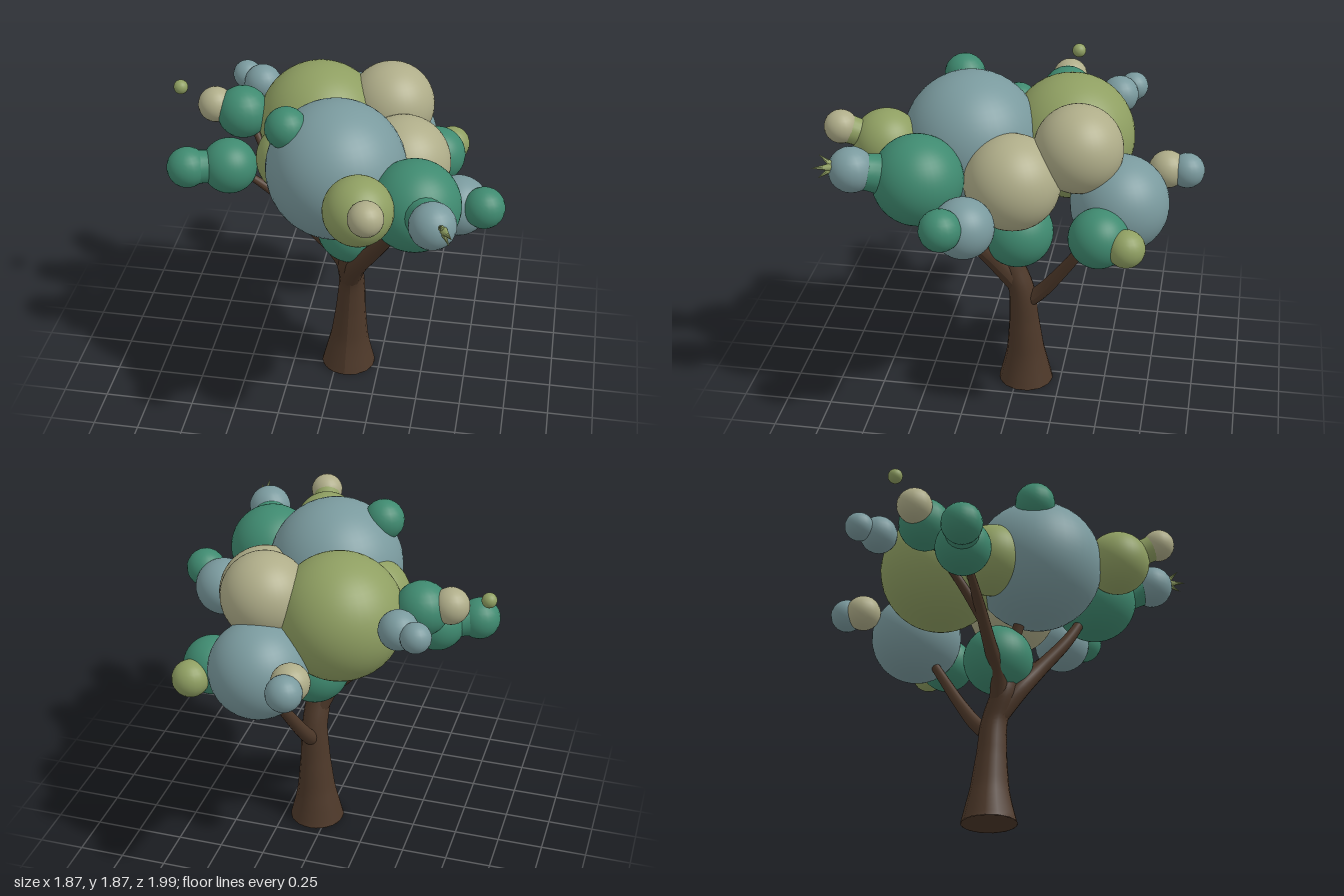
import * as THREE from 'three';

const material = (color) => new THREE.MeshStandardMaterial({ color });
const bark = material(0x4d3829);
bark.side = THREE.DoubleSide;
const leaf = {
  green: material(0x3f8a70),
  olive: material(0x8f9f62),
  beige: material(0xafad89),
  blue: material(0x7a9a9e),
};

const v = (p) => new THREE.Vector3(p[0], p[1], p[2]);

// Tube along points, with its radius interpolated through a list of radii
function limb(name, points, radii, segments = 20) {
  const sides = 14;
  const curve = new THREE.CatmullRomCurve3(points.map(v));
  const geo = new THREE.TubeGeometry(curve, segments, 1, sides);
  const pos = geo.attributes.position;
  const p = new THREE.Vector3();
  for (let i = 0; i <= segments; i++) {
    const c = curve.getPointAt(i / segments);
    // Curve parameter at this arc length picks the matching radius
    const t = curve.getUtoTmapping(i / segments) * (radii.length - 1);
    const k = Math.min(Math.floor(t), radii.length - 2);
    const r = THREE.MathUtils.lerp(radii[k], radii[k + 1], t - k);
    for (let j = 0; j <= sides; j++) {
      const n = i * (sides + 1) + j;
      p.fromBufferAttribute(pos, n).sub(c).multiplyScalar(r).add(c);
      pos.setXYZ(n, p.x, p.y, p.z);
    }
  }
  geo.computeVertexNormals();
  const mesh = new THREE.Mesh(geo, bark);
  mesh.name = name;
  return mesh;
}

function ball(name, [x, y, z, r], color) {
  const fine = r > 0.15;
  const mesh = new THREE.Mesh(new THREE.SphereGeometry(r, fine ? 40 : 20, fine ? 28 : 14), leaf[color]);
  mesh.position.set(x, y, z);
  mesh.name = name;
  return mesh;
}

// Pinched neck that fuses two neighbouring balls
function neck(a, b, color) {
  const start = v(a), dir = v(b).sub(start);
  const len = dir.length(), r = Math.min(a[3], b[3]);
  const profile = [0.92, 0.85, 0.8, 0.82, 0.9].map((s, i) => new THREE.Vector2(r * s, (len * i) / 4));
  const mesh = new THREE.Mesh(new THREE.LatheGeometry(profile, 20), leaf[color]);
  mesh.position.copy(start);
  mesh.quaternion.setFromUnitVectors(new THREE.Vector3(0, 1, 0), dir.normalize());
  mesh.name = 'foliageNeck';
  return mesh;
}

export function createModel() {
  const tree = new THREE.Group();
  tree.name = 'tree';

  // Trunk with flared foot
  const foot = [0.065, 0, -0.05];
  tree.add(limb('trunk',
    [foot, [0.066, 0.1, -0.05], [0.07, 0.2, -0.048], [0.078, 0.4, -0.04], [0.085, 0.6, -0.025], [0.08, 0.75, 0.03], [0.09, 0.9, 0.06]],
    [0.155, 0.13, 0.108, 0.085, 0.072, 0.07, 0.05], 30));
  const cap = new THREE.Mesh(new THREE.CircleGeometry(0.155, 14), bark);
  cap.rotation.x = Math.PI / 2;
  cap.position.set(...foot);
  cap.name = 'trunkBase';
  tree.add(cap);

  // Branches
  const branches = [
    ['leftBranch', [[0.08, 0.68, 0], [0, 0.83, 0.03], [-0.12, 0.95, 0.03], [-0.3, 1.14, 0.03], [-0.5, 1.29, 0.04]], [0.055, 0.045, 0.038, 0.03, 0.018]],
    ['leftTwig', [[-0.22, 1.06, 0.03], [-0.34, 1.22, -0.04], [-0.5, 1.48, -0.18]], [0.03, 0.026, 0.018]],
    ['frontBranch', [[0.08, 0.62, -0.01], [0.13, 0.78, 0.1], [0.22, 0.93, 0.19], [0.33, 1.14, 0.33], [0.4, 1.32, 0.42]], [0.06, 0.055, 0.045, 0.035, 0.025]],
    ['backBranch', [[0.085, 0.5, -0.03], [0.1, 0.59, -0.13], [0.14, 0.75, -0.25], [0.18, 0.92, -0.36], [0.2, 1.1, -0.47]], [0.045, 0.042, 0.035, 0.03, 0.025]],
    ['sideBranch', [[0.12, 0.8, 0.1], [0.23, 0.95, 0.17], [0.42, 1.1, 0.19], [0.64, 1.27, 0.18]], [0.04, 0.033, 0.026, 0.018]],
    ['centreBranch', [[0.09, 0.8, 0.04], [0.06, 1.05, 0.1], [0.04, 1.3, 0.2]], [0.05, 0.035, 0.025]],
  ];
  for (const [name, points, radii] of branches) tree.add(limb(name, points, radii));

  // Main crown: [x, y, z, radius]
  const crown = [
    [[0.04, 1.49, 0.25, 0.37], 'blue'],
    [[-0.13, 1.465, -0.27, 0.342], 'olive'],
    [[0.25, 1.57, -0.35, 0.235], 'beige'],
    [[0.36, 1.405, -0.02, 0.255], 'beige'],
    [[0.22, 1.255, -0.57, 0.263], 'blue'],
    [[0.09, 0.965, -0.005, 0.197], 'green'],
    [[0.477, 1.44, 0.455, 0.24], 'green'],
    [[-0.22, 1.43, 0.08, 0.2], 'olive'],
    [[-0.205, 1.755, 0.33, 0.112], 'green'],
    [[-0.9, 1.645, -0.21, 0.04], 'olive'],
  ];
  for (const [p, color] of crown) tree.add(ball('foliage', p, color));

  // Outer clusters: a larger ball fused to a smaller one
  const clusters = [
    [[0.22, 1.52, 0.675, 0.18], 'olive', [0.29, 1.625, 0.9, 0.09], 'beige'],
    [[0.68, 1.29, 0.18, 0.16], 'blue', [0.82, 1.345, 0.27, 0.11], 'green'],
    [[0.5, 1.19, -0.49, 0.158], 'green', [0.57, 1.18, -0.64, 0.1], 'olive'],
    [[-0.55, 1.535, -0.19, 0.145], 'green', [-0.7, 1.57, -0.185, 0.098], 'beige'],
    [[-0.58, 1.33, 0.05, 0.152], 'green', [-0.795, 1.345, 0.13, 0.112], 'green'],
    [[-0.5, 1.56, -0.49, 0.105], 'blue', [-0.605, 1.57, -0.56, 0.08], 'blue'],
    [[-0.03, 1.35, -0.8, 0.102], 'beige', [-0.03, 1.35, -0.905, 0.095], 'blue'],
  ];
  for (const [a, colorA, b, colorB] of clusters) {
    tree.add(ball('foliageCluster', a, colorA), ball('foliageTip', b, colorB), neck(a, b, colorA));
  }

  // Front bud with a small pointed sprig
  const bud = [0.6, 1.535, 0.77, 0.12];
  tree.add(ball('foliageBud', bud, 'blue'), neck([0.54, 1.49, 0.62, 0.13], bud, 'green'));
  for (const [x, y] of [[0.7, 1.58], [0.65, 1.61], [0.68, 1.54]]) {
    const sprig = new THREE.Mesh(new THREE.ConeGeometry(0.03, 0.14, 7), leaf.olive);
    const base = new THREE.Vector3(0.65, 1.57, 0.84);
    const tip = new THREE.Vector3(x, y, x === 0.7 ? 0.93 : 0.89);
    sprig.position.copy(base).lerp(tip, 0.5);
    sprig.quaternion.setFromUnitVectors(new THREE.Vector3(0, 1, 0), tip.sub(base).normalize());
    sprig.name = 'sprig';
    tree.add(sprig);
  }
  return tree;
}
